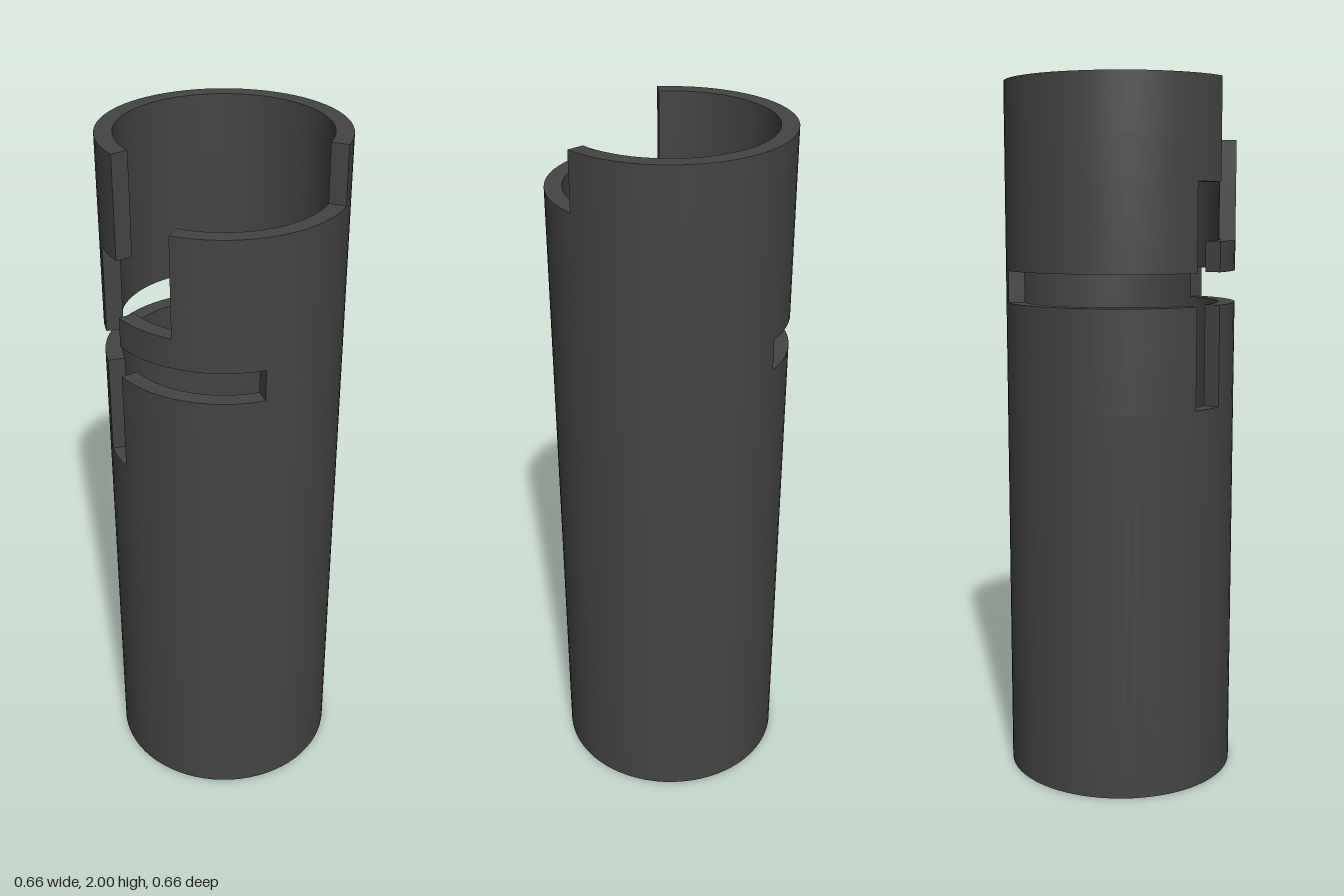
import * as THREE from 'three';

const OUTER = 0.33, INNER = 0.283;

// Openings in the wall: from angle, to angle (degrees, 0 = front, 90 = +x), from y, to y
const openings = [
  [-20, 105, 1.84, 2],       // lowered rim
  [-20, 12, 1.56, 1.84],     // entry notch
  [-37.3, -20, 1.1, 1.72],   // vertical track
  [-150, 55, 1.385, 1.475],  // horizontal slot
];

const sorted = (list) => [...new Set(list)].sort((a, b) => a - b);

// Curved wall on an angle/height grid; faces are made only where solid meets air
function tubeWall() {
  const angles = [];
  for (let a = -180; a <= 180; a += 5) angles.push(a);
  const as = sorted([...angles, ...openings.flatMap((o) => [o[0], o[1]])]);
  const ys = sorted([0, 2, ...openings.flatMap((o) => [o[2], o[3]])]);
  const cols = as.length - 1, rows = ys.length - 1;
  const solid = (i, j) => {
    if (j < 0 || j >= rows) return false;
    const c = (i + cols) % cols;
    const a = (as[c] + as[c + 1]) / 2, y = (ys[j] + ys[j + 1]) / 2;
    return !openings.some((o) => a > o[0] && a < o[1] && y > o[2] && y < o[3]);
  };

  const positions = [], normals = [];
  const rad = THREE.MathUtils.degToRad;
  // Each corner is [radius, angle, y]; normalAt gives the normal for an angle
  const quad = (corners, normalAt) => {
    for (const k of [0, 1, 2, 0, 2, 3]) {
      const [r, deg, y] = corners[k], a = rad(deg);
      positions.push(r * Math.sin(a), y, r * Math.cos(a));
      normals.push(...normalAt(a));
    }
  };
  const out = (a) => [Math.sin(a), 0, Math.cos(a)];
  const inward = (a) => [-Math.sin(a), 0, -Math.cos(a)];
  const ahead = (a) => [Math.cos(a), 0, -Math.sin(a)];
  const behind = (a) => [-Math.cos(a), 0, Math.sin(a)];

  for (let i = 0; i < cols; i++) {
    for (let j = 0; j < rows; j++) {
      if (!solid(i, j)) continue;
      const a0 = as[i], a1 = as[i + 1], y0 = ys[j], y1 = ys[j + 1];
      quad([[OUTER, a0, y0], [OUTER, a1, y0], [OUTER, a1, y1], [OUTER, a0, y1]], out);
      quad([[INNER, a1, y0], [INNER, a0, y0], [INNER, a0, y1], [INNER, a1, y1]], inward);
      if (!solid(i, j + 1))
        quad([[OUTER, a0, y1], [OUTER, a1, y1], [INNER, a1, y1], [INNER, a0, y1]], () => [0, 1, 0]);
      if (!solid(i, j - 1))
        quad([[INNER, a0, y0], [INNER, a1, y0], [OUTER, a1, y0], [OUTER, a0, y0]], () => [0, -1, 0]);
      if (!solid(i + 1, j))
        quad([[OUTER, a1, y0], [INNER, a1, y0], [INNER, a1, y1], [OUTER, a1, y1]], ahead);
      if (!solid(i - 1, j))
        quad([[INNER, a0, y0], [OUTER, a0, y0], [OUTER, a0, y1], [INNER, a0, y1]], behind);
    }
  }
  const geometry = new THREE.BufferGeometry();
  geometry.setAttribute('position', new THREE.Float32BufferAttribute(positions, 3));
  geometry.setAttribute('normal', new THREE.Float32BufferAttribute(normals, 3));
  return geometry;
}

export function createModel() {
  const group = new THREE.Group();
  group.name = 'slottedTube';
  const charcoal = new THREE.MeshStandardMaterial({ color: 0x444444 });
  charcoal.name = 'charcoal';

  const wall = new THREE.Mesh(tubeWall(), charcoal);
  wall.name = 'tubeWall';
  group.add(wall);

  // Floor closing the lower end
  const floor = new THREE.Mesh(new THREE.CylinderGeometry(INNER, INNER, 0.04, 24), charcoal);
  floor.name = 'floor';
  floor.position.y = 0.02;
  group.add(floor);

  return group;
}
